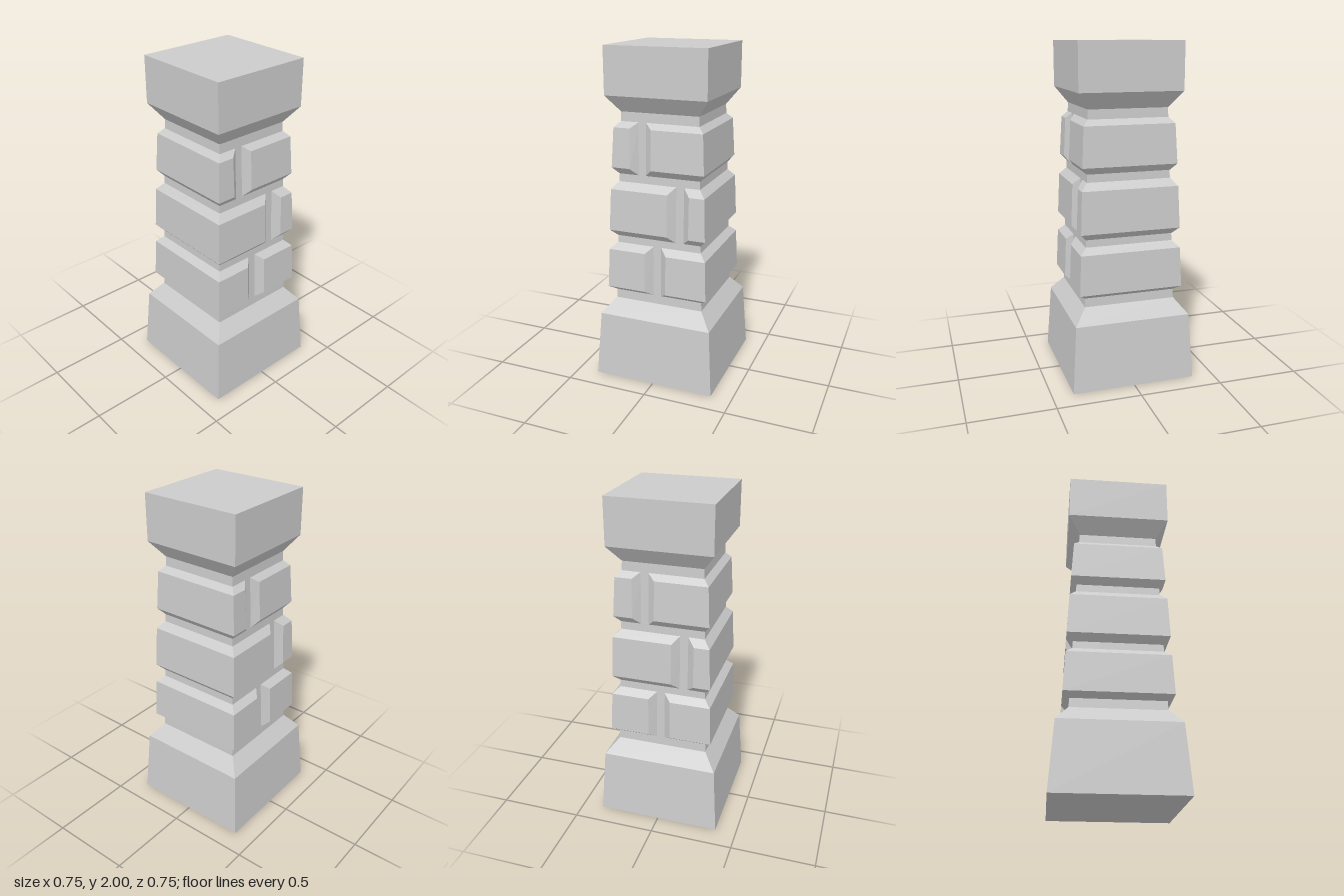
import * as THREE from 'three';

const material = new THREE.MeshStandardMaterial({ color: 0xcccccc, flatShading: true });

// Joins equal-length rings of points (counterclockwise from above) into a capped solid.
function loft(rings) {
  const pos = [];
  const tri = (...pts) => pts.forEach((p) => pos.push(...p));
  const n = rings[0].length;
  for (let r = 0; r < rings.length - 1; r++) {
    const lo = rings[r], hi = rings[r + 1];
    for (let i = 0; i < n; i++) {
      const j = (i + 1) % n;
      tri(lo[i], lo[j], hi[j]);
      tri(lo[i], hi[j], hi[i]);
    }
  }
  const bottom = rings[0], top = rings[rings.length - 1];
  for (let i = 1; i < n - 1; i++) {
    tri(bottom[0], bottom[i + 1], bottom[i]);
    tri(top[0], top[i], top[i + 1]);
  }
  const geometry = new THREE.BufferGeometry();
  geometry.setAttribute('position', new THREE.Float32BufferAttribute(pos, 3));
  geometry.computeVertexNormals();
  return geometry;
}

const square = ([w, y]) => [[-w, y, w], [w, y, w], [w, y, -w], [-w, y, -w]];

// Half-width of the tapering shaft at height y
const shaft = (y) => THREE.MathUtils.mapLinear(y, 0.49, 1.63, 0.274, 0.236);

// One stone: wraps a side of the shaft, with bevelled ends on the front and back faces.
// gl, gr are the edges of the joint on the front; the back joint is the same turned half round.
function stone({ y, w, gl, gr }) {
  const bevel = 0.045;
  const ring = (h, out) => {
    const c = shaft(h) - 0.002;
    const W = out ?? c;
    const b = out ? bevel : 0;
    return [[-W, h, W], [gl - b, h, W], [gl, h, c], [-gr, h, -c], [-gr - b, h, -W], [-W, h, -W]];
  };
  return loft([ring(y[0]), ring(y[1], w[0]), ring(y[2], w[1]), ring(y[3])]);
}

export function createModel() {
  const model = new THREE.Group();
  model.name = 'stonePillar';
  const add = (name, geometry, parent = model) => {
    const mesh = new THREE.Mesh(geometry, material);
    mesh.name = name;
    parent.add(mesh);
    return mesh;
  };

  // Base, shaft and capital share one stepped square profile
  add('pillarCore', loft([
    [0.373, 0], [0.347, 0.4], [0.274, 0.49], [0.236, 1.63], [0.305, 1.725], [0.305, 2],
  ].map(square)));

  // Three courses of paired stones with staggered joints
  const courses = [
    { y: [0.542, 0.572, 0.81, 0.85], w: [0.311, 0.301], gl: -0.029, gr: 0.014 },
    { y: [0.889, 0.931, 1.18, 1.225], w: [0.298, 0.288], gl: 0.109, gr: 0.152 },
    { y: [1.267, 1.31, 1.542, 1.577], w: [0.282, 0.27], gl: -0.124, gr: -0.084 },
  ];
  courses.forEach((course, i) => {
    const group = new THREE.Group();
    group.name = `stoneCourse${i + 1}`;
    model.add(group);
    const geometry = stone(course);
    add('rightStone', geometry, group);
    add('leftStone', geometry, group).rotation.y = Math.PI;
  });
  return model;
}
